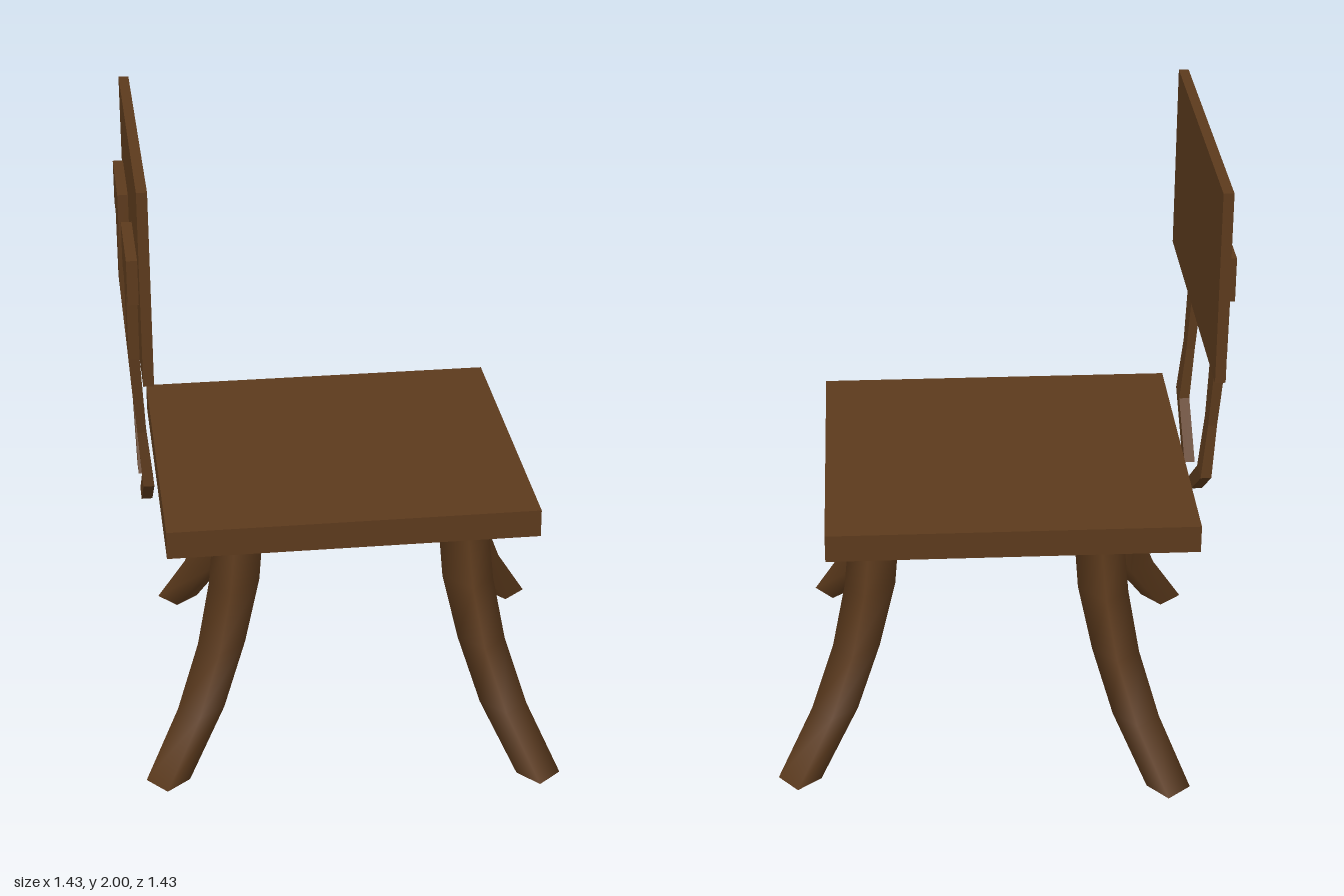
import * as THREE from 'three';

const wood = new THREE.MeshStandardMaterial({ color: 0x5c3a1c });

function addBox(parent, name, [x0, x1], [y0, y1], [z0, z1]) {
  const mesh = new THREE.Mesh(new THREE.BoxGeometry(x1 - x0, y1 - y0, z1 - z0), wood);
  mesh.position.set((x0 + x1) / 2, (y0 + y1) / 2, (z0 + z1) / 2);
  mesh.name = name;
  parent.add(mesh);
}

// Joins rectangular sections { y, x: [min, max], z: [min, max] }, listed bottom to top.
function loft(sections, smooth) {
  const points = [];
  const index = [];
  const addRing = ({ y, x, z }) => {
    points.push(x[1], y, z[1], x[1], y, z[0], x[0], y, z[0], x[0], y, z[1]);
    return points.length / 3 - 4;
  };
  sections.forEach((section, s) => {
    const a = addRing(section);
    if (s === 0) return;
    for (let i = 0; i < 4; i++) {
      const j = (i + 1) % 4;
      index.push(a - 4 + i, a - 4 + j, a + j, a - 4 + i, a + j, a + i);
    }
  });
  // end caps keep their own corners so their edges stay sharp
  const b = addRing(sections[0]);
  index.push(b, b + 2, b + 1, b, b + 3, b + 2);
  const t = addRing(sections[sections.length - 1]);
  index.push(t, t + 1, t + 2, t, t + 2, t + 3);

  let geometry = new THREE.BufferGeometry();
  geometry.setAttribute('position', new THREE.Float32BufferAttribute(points, 3));
  geometry.setIndex(index);
  if (!smooth) geometry = geometry.toNonIndexed();
  geometry.computeVertexNormals();
  return geometry;
}

export function createModel() {
  const model = new THREE.Group();
  model.name = 'chair';

  addBox(model, 'seat', [-0.625, 0.54], [0.805, 0.895], [-0.54, 0.54]);
  addBox(model, 'backPanel', [-0.677, -0.645], [1.39, 2], [-0.54, 0.54]);

  // Splayed legs: height, inner radius, outer radius
  const legGeometry = loft([
    [0, 0.79, 0.888],
    [0.2, 0.63, 0.742],
    [0.4, 0.531, 0.646],
    [0.6, 0.462, 0.591],
    [0.807, 0.438, 0.563],
  ].map(([y, inner, outer]) => ({ y, x: [inner, outer], z: [-0.049, 0.049] })), true);
  for (let i = 0; i < 4; i++) {
    const leg = new THREE.Mesh(legGeometry, wood);
    leg.rotation.y = -0.877 + i * Math.PI / 2;
    leg.name = 'leg';
    model.add(leg);
  }

  // Back supports: height, back x, front x, inner z, outer z
  const stem = [
    [0.805, -0.68, -0.646, 0.05, 0.13],
    [0.948, -0.68, -0.646, 0.238, 0.325],
    [1.13, -0.692, -0.664, 0.24, 0.315],
    [1.39, -0.71, -0.677, 0.225, 0.335],
    [1.61, -0.71, -0.677, 0.215, 0.345],
  ];
  for (const side of [-1, 1]) {
    const support = new THREE.Group();
    support.name = 'backSupport';
    const span = (a, b) => (side > 0 ? [a, b] : [-b, -a]);
    const arm = new THREE.Mesh(loft(stem.map(([y, back, front, inner, outer]) => (
      { y, x: [back, front], z: span(inner, outer) })), false), wood);
    arm.name = 'supportArm';
    support.add(arm);
    addBox(support, 'supportHead', [-0.71, -0.677], [1.61, 1.75], span(0.117, 0.437));
    model.add(support);
  }

  return model;
}
